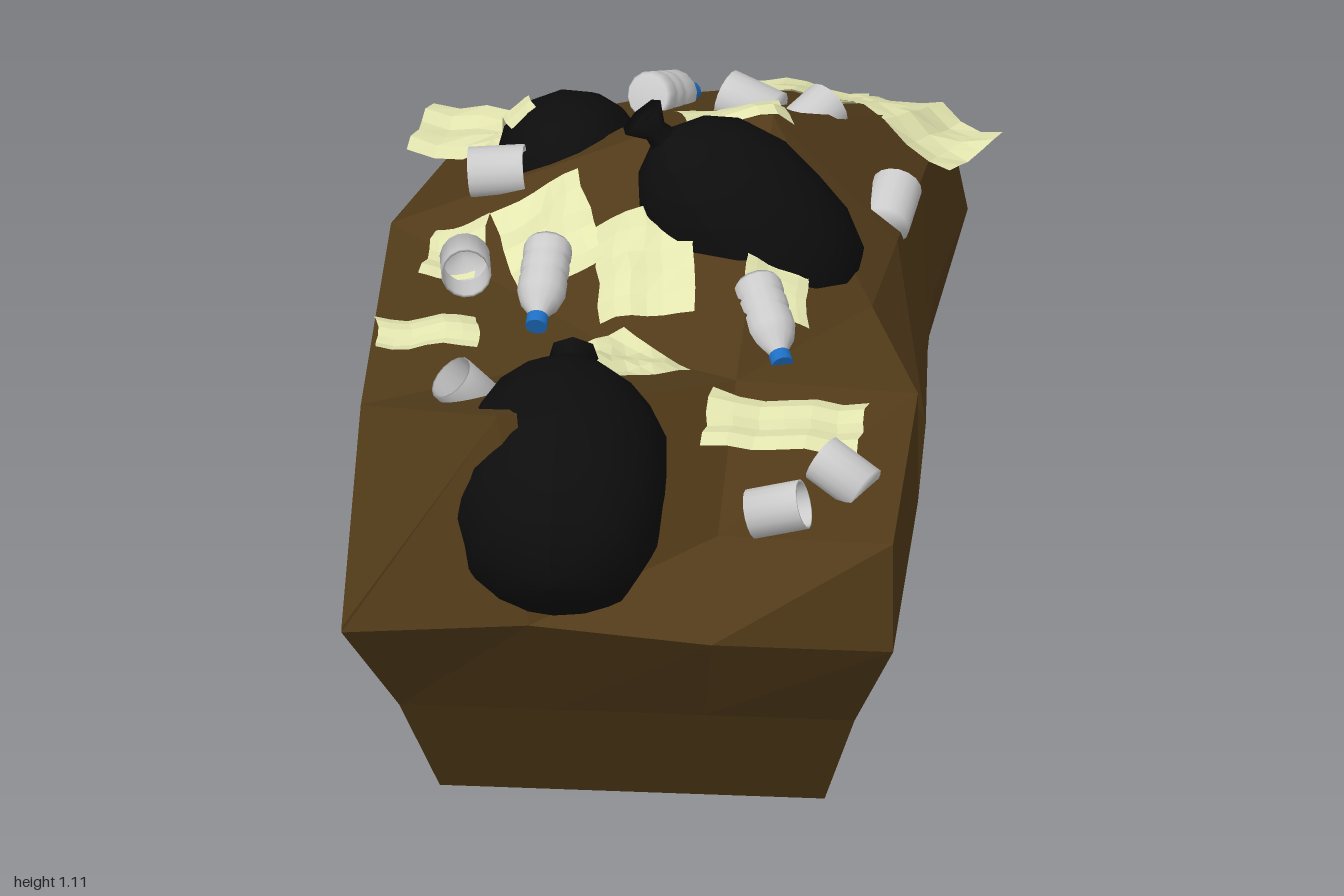
import * as THREE from 'three';

const V = (p) => new THREE.Vector3(...p);
const UP = new THREE.Vector3(0, 1, 0);
const mat = (color, extra = {}) => new THREE.MeshStandardMaterial({ color, ...extra });
const earthMat = mat(0x523b19, { flatShading: true });
const bagMat = mat(0x0d0d0d, { side: THREE.DoubleSide });
const paperMat = mat(0xe4e6b0, { flatShading: true, side: THREE.DoubleSide });
const greyMat = mat(0xcccccc, { side: THREE.DoubleSide });
const capMat = mat(0x1f6fc4);

// Widest outline of the heap, anticlockwise from the front corner at -x
const WAIST = [
  [-.59, .5, .92], [-.22, .53, .92], [.14, .49, .9], [.5, .5, .92], [.5, .5, .28],
  [.49, .5, -.05], [.47, .5, -.36], [.46, .48, -.65], [.5, .48, -1], [.33, .47, -.94],
  [.14, .47, -1], [-.05, .47, -.99], [-.44, .46, -.98], [-.54, .48, -.75],
  [-.59, .5, -.36], [-.59, .5, .4],
];
// Upper rim, column for column with the waist, then four crest points
const TOP = [
  [-.59, .51, .92], [-.29, .935, .81], [.14, .65, .74], [.5, .74, .92], [.5, .74, .28],
  [.38, .73, -.1], [.41, .74, -.36], [.44, .74, -.65], [.47, .75, -.88], [.33, .74, -.92],
  [.14, .74, -1], [-.1, .72, -.98], [-.4, .68, -.91], [-.5, .7, -.74],
  [-.59, .74, -.36], [-.59, .745, .42],
  [-.06, .97, -.36], [.16, .98, -.42], [-.1, .77, .2], [.14, .75, .27],
];
const TOP_FACES = [
  [0, 15, 1], [1, 15, 18], [1, 18, 19], [1, 19, 2], [2, 19, 4], [2, 4, 3], [15, 14, 18],
  [14, 16, 18], [18, 16, 19], [16, 17, 19], [19, 17, 5], [19, 5, 4], [5, 17, 6], [6, 17, 7],
  [7, 17, 8], [17, 9, 8], [17, 10, 9], [17, 16, 11], [17, 11, 10], [16, 12, 11],
  [16, 13, 12], [16, 14, 13],
];

function buildHeap() {
  const out = [];
  const tri = (a, b, c) => out.push(...a, ...b, ...c);
  // Lower levels: the waist squared off to a rectangle and drawn in
  const level = (y, x0, x1, z0, z1) => WAIST.map(([x, , z]) => {
    const u = x > .4 ? 1 : x < -.4 ? 0 : (x + .59) / 1.09;
    const w = z > .8 ? 1 : z < -.9 ? 0 : (z + 1) / 1.92;
    return [x0 + u * (x1 - x0), y, z0 + w * (z1 - z0)];
  });
  const base = level(0, -.42, .34, -.74, .6);
  const rings = [base, level(.25, -.49, .41, -.84, .74), WAIST, TOP];
  const n = WAIST.length;
  for (let k = 0; k < 3; k++) {
    for (let i = 0; i < n; i++) {
      const j = (i + 1) % n, a = rings[k], b = rings[k + 1];
      tri(a[i], a[j], b[j]);
      tri(a[i], b[j], b[i]);
    }
  }
  for (let i = 0; i < n; i++) tri([-.04, 0, -.07], base[(i + 1) % n], base[i]);
  // Top surface, every face turned upwards
  for (const [i, j, k] of TOP_FACES) {
    const [a, b, c] = [TOP[i], TOP[j], TOP[k]];
    const up = V(b).sub(V(a)).cross(V(c).sub(V(a))).y > 0;
    up ? tri(a, b, c) : tri(a, c, b);
  }
  const geo = new THREE.BufferGeometry();
  geo.setAttribute('position', new THREE.Float32BufferAttribute(out, 3));
  geo.computeVertexNormals();
  const mesh = new THREE.Mesh(geo, earthMat);
  mesh.name = 'earthHeap';
  return mesh;
}

const lathe = (pts, seg, m) =>
  new THREE.Mesh(new THREE.LatheGeometry(pts.map((p) => new THREE.Vector2(...p)), seg), m);

// Tied bag: full sack, pinched neck and flared ruffle along an axis
function buildBag(center, dir, length, rx, rz, name) {
  const g = new THREE.Group();
  const profile = [[0, -1], [.42, -.95], [.77, -.75], [.97, -.42], [1, -.05],
    [.95, .32], [.79, .64], [.52, .86], [.15, 1]];
  const sack = lathe(profile, 14, bagMat);
  const p = sack.geometry.attributes.position;
  for (let i = 0; i < p.count; i++) {
    const a = Math.atan2(p.getZ(i), p.getX(i));
    const s = 1 + .03 * Math.sin(a * 3 + p.getY(i) * 4);
    p.setXYZ(i, p.getX(i) * s, p.getY(i), p.getZ(i) * s);
  }
  sack.geometry.computeVertexNormals();
  sack.scale.set(rx, length, rz);
  sack.name = 'sack';
  const tie = lathe([[.035, -.02], [.025, .02], [.05, .06], [.02, .048]], 7, bagMat);
  tie.position.y = length;
  tie.name = 'tiedNeck';
  g.add(sack, tie);
  g.position.set(...center);
  g.quaternion.setFromUnitVectors(UP, V(dir).normalize());
  g.name = name;
  return g;
}

// Places an upright part so that it points from one position to another
function aim(obj, from, to) {
  obj.position.copy(V(from));
  obj.quaternion.setFromUnitVectors(UP, V(to).sub(V(from)).normalize());
  return obj;
}

function buildBottle(from, to) {
  const g = new THREE.Group();
  const body = lathe([[0, 0], [.042, 0], [.048, .01], [.048, .035], [.043, .042], [.048, .05],
    [.048, .075], [.043, .082], [.048, .09], [.048, .125], [.039, .15], [.02, .175], [.018, .19]], 14, greyMat);
  body.name = 'bottleBody';
  const cap = new THREE.Mesh(new THREE.CylinderGeometry(.022, .022, .025, 12), capMat);
  cap.position.y = .195;
  cap.name = 'bottleCap';
  g.add(body, cap);
  g.name = 'bottle';
  return aim(g, from, to);
}

function buildCan(center, dir) {
  const can = lathe([[0, -.055], [.05, -.055], [.05, .055], [.045, .055], [.045, -.045]], 16, greyMat);
  can.name = 'openCan';
  return aim(can, center, V(center).add(V(dir)).toArray());
}

const ray = new THREE.Raycaster();
function heightAt(x, z, targets) {
  ray.set(new THREE.Vector3(x, 3, z), new THREE.Vector3(0, -1, 0));
  const hit = ray.intersectObjects(targets, true)[0];
  return Math.max(hit ? hit.point.y : 0, .74);
}

// Creased sheet draped over what lies below it
function buildPaper([x, z, w, d, turn], index, targets) {
  const geo = new THREE.PlaneGeometry(w, d, 6, 5).rotateX(-Math.PI / 2).rotateY(turn);
  const p = geo.attributes.position;
  for (let i = 0; i < p.count; i++) {
    const px = p.getX(i) + x, pz = p.getZ(i) + z;
    const crease = .006 * Math.sin(px * 41 + index) + .005 * Math.sin(pz * 53 + index * 2);
    p.setXYZ(i, px + .004 * Math.sin(pz * 50 + index), heightAt(px, pz, targets) + .018 + crease,
      pz + .004 * Math.sin(px * 45 + index));
  }
  geo.computeVertexNormals();
  const sheet = new THREE.Mesh(geo, paperMat);
  sheet.name = 'paperSheet';
  return sheet;
}

export function createModel() {
  const model = new THREE.Group();
  model.name = 'rubbishHeap';
  const heap = buildHeap();
  const backBag = buildBag([-.245, .785, -.565], [.15, -.45, -.88], .205, .14, .145, 'backBag');
  model.add(
    heap, backBag,
    buildBag([-.172, .74, .712], [0, .34, -.94], .285, .213, .21, 'frontBag'),
    buildBag([.125, .845, -.2], [-.66, .75, 0], .255, .18, .168, 'middleBag'),
  );
  model.updateMatrixWorld(true);

  // Bottles: base, then cap
  [
    [[-.25, .9, .01], [-.26, .82, .19]],
    [[.16, .83, .01], [.23, .74, .2]],
    [[-.11, .86, -.71], [-.04, .78, -.88]],
  ].forEach(([a, b]) => model.add(buildBottle(a, b)));

  // Cans: centre, then direction of the open end
  [
    [[-.38, .86, -.37], [1, .1, 0]], [[-.42, .81, -.06], [.1, .2, 1]],
    [[-.37, .82, .5], [-.5, .6, .2]], [[.1, .89, -.63], [-.9, .2, -.4]],
    [[.22, .88, -.59], [.6, .3, -.7]], [[.39, .77, -.45], [.15, .3, -.9]],
    [[.26, .73, .77], [1, .3, .1]], [[.38, .745, .64], [-.8, .4, -.4]],
  ].forEach(([c, d]) => model.add(buildCan(c, d)));

  // Paper sheets: x, z, width, depth, turn
  [
    [-.4, -.71, .33, .21, -.16], [.18, -.84, .25, .21, -.1], [.41, -.78, .29, .2, -.5],
    [.08, -.44, .21, .12, .35], [-.45, -.18, .11, .18, -.1], [-.26, -.15, .17, .28, .3],
    [-.06, -.01, .19, .28, .1], [-.48, .14, .2, .13, .1], [-.09, .3, .2, .22, .75],
    [.25, .46, .31, .21, -.02], [.2, 0, .12, .14, .1],
  ].forEach((s, i) => model.add(buildPaper(s, i, [heap])));
  model.add(buildPaper([-.36, -.56, .05, .17, .25], 12, [heap, backBag]));
  return model;
}
